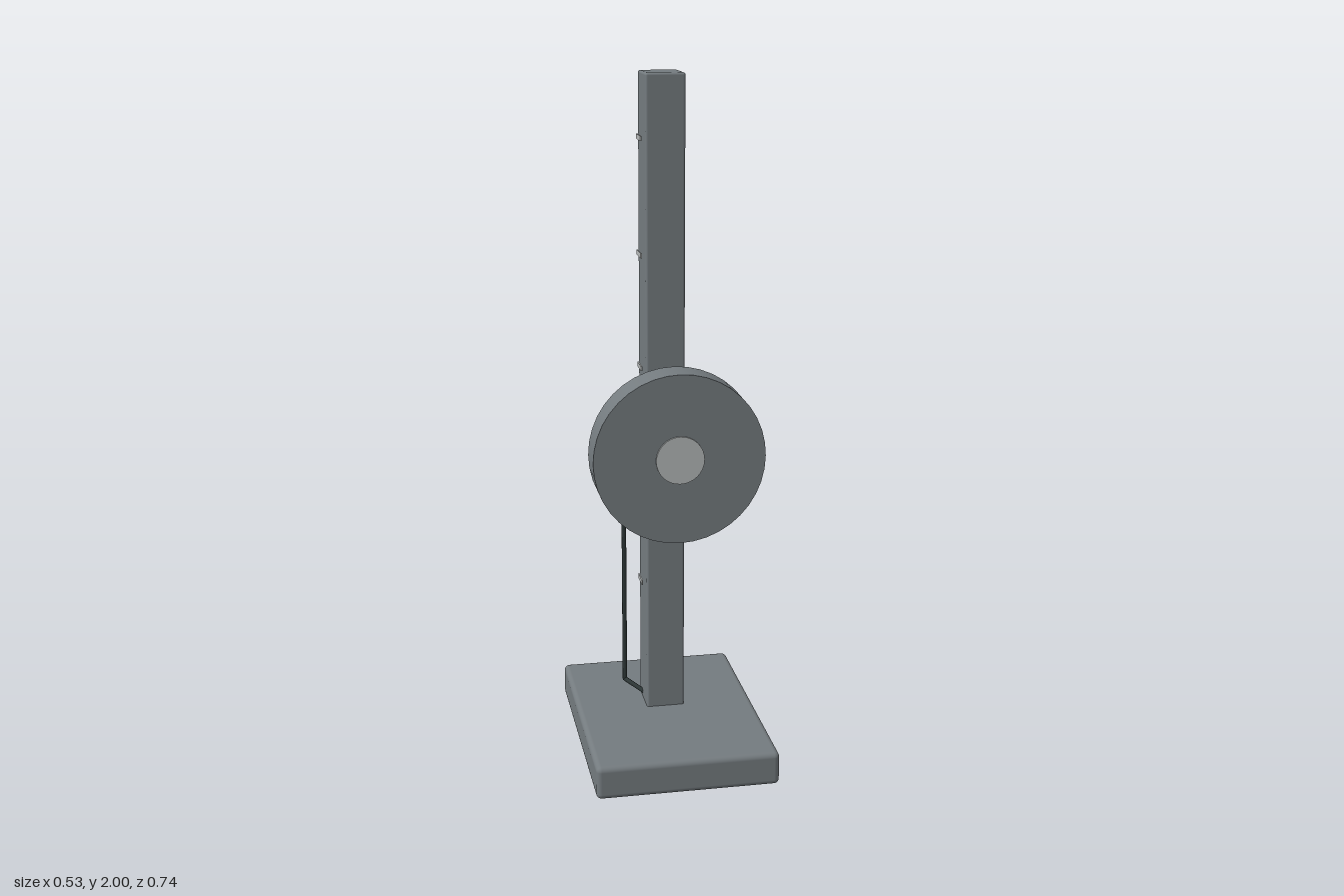
import * as THREE from 'three';
import { RoundedBoxGeometry } from 'three/addons/geometries/RoundedBoxGeometry.js';

export function createModel() {
  const model = new THREE.Group();
  const mat = (name, color) => {
    const m = new THREE.MeshStandardMaterial({ color });
    m.name = name;
    return m;
  };
  const steel = mat('steel grey', 0x747b7f);
  const dark = mat('dark housing', 0x2c3535);
  const light = mat('light metal', 0xb4b8b8);

  const add = (name, geometry, material, x, y, z) => {
    const mesh = new THREE.Mesh(geometry, material);
    mesh.name = name;
    mesh.position.set(x, y, z);
    model.add(mesh);
    return mesh;
  };
  // Box with softened edges
  const box = (name, material, w, h, d, r, x, y, z) =>
    add(name, new RoundedBoxGeometry(w, h, d, 3, r), material, x, y, z);
  // Disc whose axis runs front to back, from z0 to z1
  const disc = (name, material, r, sides, x, y, z0, z1) =>
    add(name, new THREE.CylinderGeometry(r, r, z1 - z0, sides).rotateX(Math.PI / 2),
      material, x, y, (z0 + z1) / 2);

  // Stand
  box('base', steel, 0.534, 0.1, 0.738, 0.016, 0, 0.05, 0);
  box('column', steel, 0.114, 1.91, 0.128, 0.007, 0, 1.045, -0.068);

  // Carriage and wheel
  box('carriageHousing', dark, 0.26, 0.31, 0.13, 0.01, 0, 0.953, 0.057);
  disc('wheel', steel, 0.246, 40, 0, 0.952, 0.122, 0.22);
  disc('hub', light, 0.069, 32, 0, 0.952, 0.215, 0.226);

  // Side knob with a dark cap
  disc('knob', steel, 0.034, 24, -0.153, 0.952, 0.085, 0.11);
  disc('knobCap', dark, 0.041, 24, -0.153, 0.952, 0.081, 0.086);

  // Index marks along the column's right side
  for (let i = 0; i < 5; i++) {
    add('indexMark', new THREE.BoxGeometry(0.004, 0.014, 0.064), light, -0.068, 0.5 + i * 0.33, -0.05);
  }

  // Cable with straight runs and tight bends
  const points = [[0, 0.947, -0.113], [-0.1, 0.75, -0.166], [-0.1, 0.125, -0.166], [-0.02, 0.107, -0.03]]
    .map((p) => new THREE.Vector3(...p));
  const path = new THREE.CurvePath();
  for (let i = 0; i < 3; i++) path.add(new THREE.LineCurve3(points[i], points[i + 1]));
  path.curves.forEach((run) => add('cable', new THREE.TubeGeometry(run, 1, 0.007, 10), dark, 0, 0, 0));
  points.slice(1, 3).forEach((p) => add('cableBend', new THREE.SphereGeometry(0.007, 10, 8), dark, p.x, p.y, p.z));

  return model;
}
